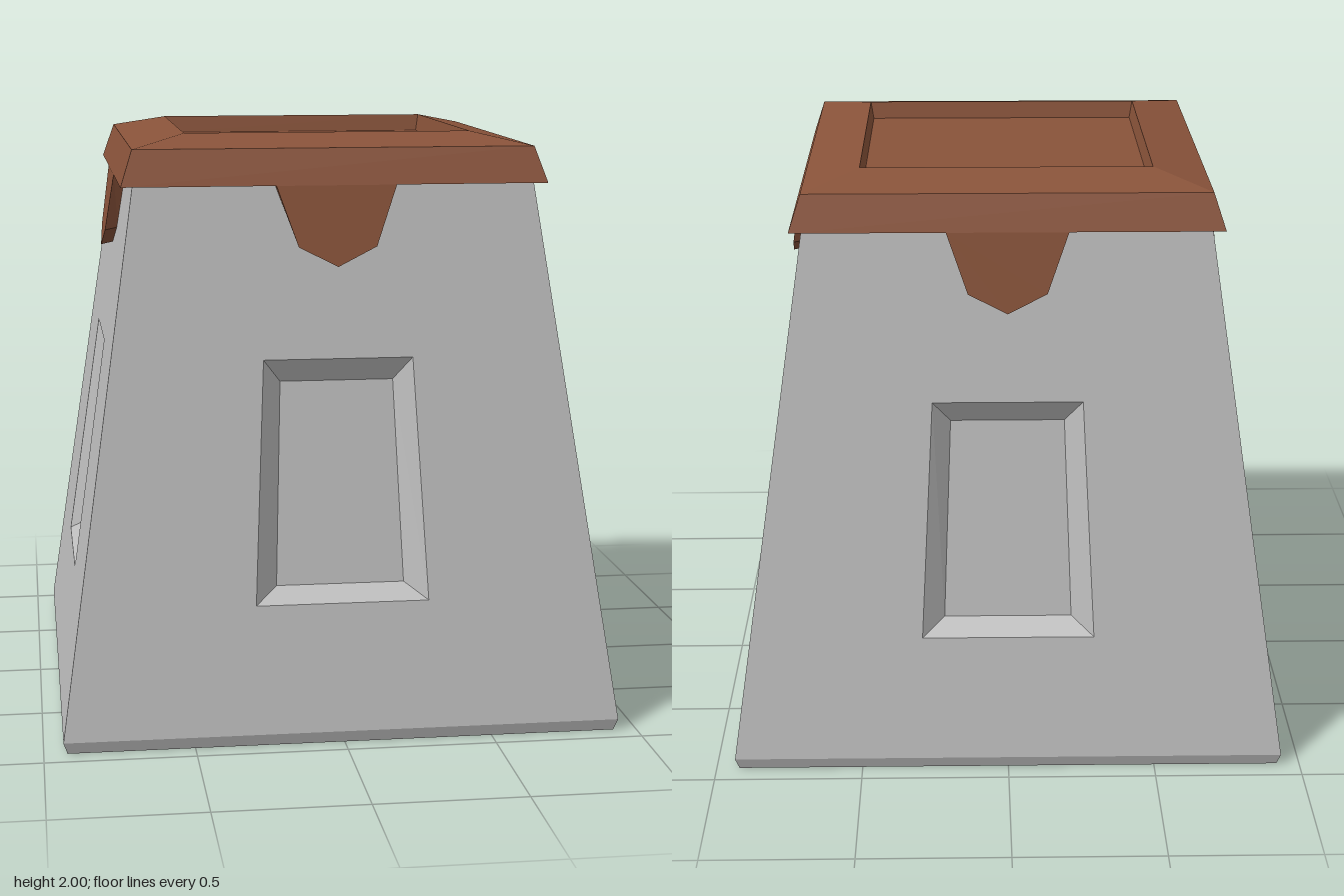
import * as THREE from 'three';

const stone = new THREE.MeshStandardMaterial({ color: 0xbdbdbd, side: THREE.DoubleSide });
stone.name = 'stone grey';
const wood = new THREE.MeshStandardMaterial({ color: 0x89533a, side: THREE.DoubleSide });
wood.name = 'roof brown';

// Joins successive corner loops with flat faces and optionally caps the last loop
function loft(loops, cap) {
  const pos = [];
  const tri = (a, b, c) => pos.push(...a, ...b, ...c);
  for (let k = 0; k + 1 < loops.length; k++) {
    const a = loops[k], b = loops[k + 1], n = a.length;
    for (let i = 0; i < n; i++) {
      const j = (i + 1) % n;
      tri(a[i], a[j], b[j]);
      tri(a[i], b[j], b[i]);
    }
  }
  const end = loops[loops.length - 1];
  if (cap) for (let i = 1; i + 1 < end.length; i++) tri(end[0], end[i], end[i + 1]);
  const geo = new THREE.BufferGeometry();
  geo.setAttribute('position', new THREE.Float32BufferAttribute(pos, 3));
  geo.computeVertexNormals();
  return geo;
}

const square = (h, y) => [[-h, y, h], [h, y, h], [h, y, -h], [-h, y, -h]];

// Distance of the sloping wall from the centre at height y
const wallAt = (y) => 0.935 - (y - 0.04) * (0.265 / 1.8);

// Symmetric four-cornered loop lying in the wall, pushed in by depth
const panel = (w0, y0, w1, y1, depth) => {
  const z0 = wallAt(y0) - depth, z1 = wallAt(y1) - depth;
  return [[-w0, y0, z0], [w0, y0, z0], [w1, y1, z1], [-w1, y1, z1]];
};

export function createModel() {
  const model = new THREE.Group();
  const add = (name, geo, mat, turn = 0) => {
    const mesh = new THREE.Mesh(geo, mat);
    mesh.name = name;
    mesh.rotation.y = turn;
    model.add(mesh);
  };

  // Sloping wall with a bevelled window recess
  const wall = loft([
    panel(0.935, 0.04, 0.67, 1.84, 0),
    panel(0.29, 0.465, 0.25, 1.27, 0),
    panel(0.215, 0.515, 0.19, 1.19, 0.058),
  ], true);

  // Pointed tab hanging from the roof rim
  const outline = [[-0.2, 1.84], [-0.13, 1.64], [0, 1.575], [0.13, 1.64], [0.2, 1.84]];
  const tab = loft([
    outline.map(([x, y]) => [x, y + (y < 1.8 ? 0.01 : 0), wallAt(y) - 0.005]),
    outline.map(([x, y]) => [x, y, 0.71 + (1.84 - y) * 0.15]),
  ], true);

  ['front', 'left', 'back', 'right'].forEach((side, i) => {
    add(side + 'Wall', wall, stone, i * Math.PI / 2);
    add(side + 'RoofTab', tab, wood, i * Math.PI / 2);
  });

  // Chamfered foot, open underneath
  add('foot', loft([square(0.922, 0), square(0.935, 0.04)], false), stone);

  // Roof: underside, flared rim, shallow slope and sunken centre
  add('roof', loft([
    square(0.665, 1.84), square(0.71, 1.84), square(0.67, 1.96),
    square(0.485, 2), square(0.475, 1.94),
  ], true), wood);

  return model;
}
